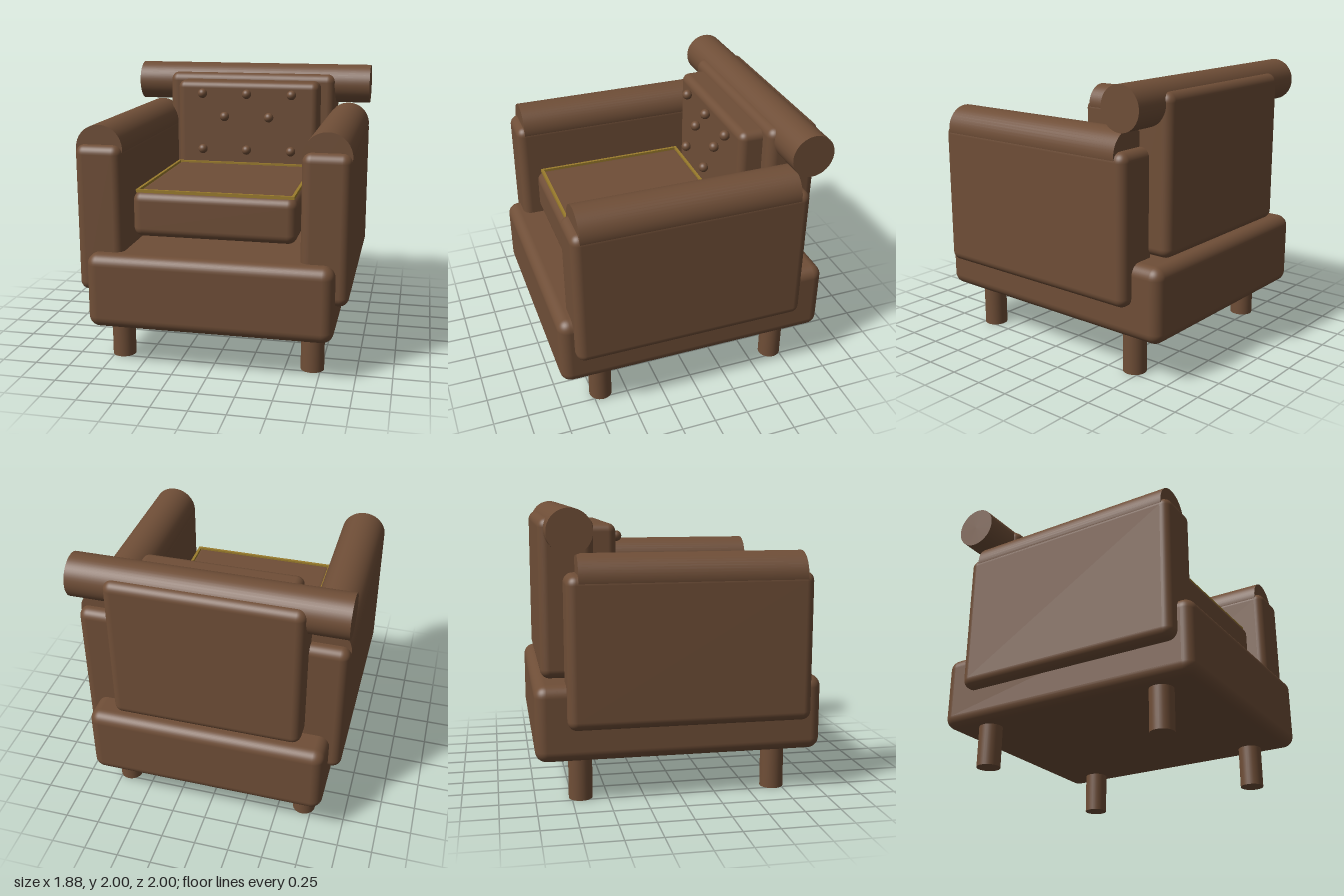
import * as THREE from 'three';
import { RoundedBoxGeometry } from 'three/addons/geometries/RoundedBoxGeometry.js';

export function createModel() {
  const model = new THREE.Group();
  model.name = 'armchair';

  const leather = new THREE.MeshStandardMaterial({ color: 0x6f4e37 });
  leather.name = 'brown leather';
  const gold = new THREE.MeshStandardMaterial({ color: 0x9a7b2c });
  gold.name = 'gold piping';

  const add = (name, geometry, material, x, y, z) => {
    const mesh = new THREE.Mesh(geometry, material);
    mesh.name = name;
    mesh.position.set(x, y, z);
    model.add(mesh);
    return mesh;
  };

  // Rounded block given by its [min, max] range on each axis
  const block = (name, [x0, x1], [y0, y1], [z0, z1], radius) =>
    add(name, new RoundedBoxGeometry(x1 - x0, y1 - y0, z1 - z0, 5, radius), leather,
      (x0 + x1) / 2, (y0 + y1) / 2, (z0 + z1) / 2);

  // Upholstered body
  block('base', [-0.855, 0.855], [0.295, 0.825], [-1, 1], 0.08);
  block('backrest', [-0.675, 0.675], [0.835, 1.93], [-0.945, -0.57], 0.065);
  block('backCushion', [-0.565, 0.565], [1.0, 1.88], [-0.7, -0.405], 0.055);
  block('seatCushion', [-0.575, 0.575], [0.91, 1.23], [-0.4, 0.79], 0.065);

  // Arms with a round bolster along the top
  for (const [side, s] of [['left', 1], ['right', -1]]) {
    const x = s * 0.777;
    block(side + 'Arm', [x - 0.165, x + 0.165], [0.53, 1.565], [-0.785, 0.9], 0.065);
    add(side + 'ArmBolster', new THREE.CylinderGeometry(0.165, 0.165, 1.55, 48), leather, x, 1.535, 0.07)
      .rotation.x = Math.PI / 2;

    // Legs
    for (const [end, z] of [['Front', 0.69], ['Back', -0.688]]) {
      add(side + end + 'Leg', new THREE.CylinderGeometry(0.083, 0.083, 0.36, 32), leather, s * 0.69, 0.18, z);
    }
  }

  // Head roll across the top of the back
  add('headRoll', new THREE.CylinderGeometry(0.151, 0.151, 1.885, 48), leather, 0, 1.849, -0.757)
    .rotation.z = Math.PI / 2;

  // Tufting buttons
  const buttonGeometry = new THREE.SphereGeometry(0.037, 24, 16);
  const rows = [[1.785, [-0.356, 0, 0.356]], [1.605, [-0.178, 0.178]], [1.34, [-0.356, 0, 0.356]]];
  for (const [y, xs] of rows) {
    for (const x of xs) add('button', buttonGeometry, leather, x, y, -0.378);
  }

  // Piping frame on the seat cushion
  const w = 0.02, h = 0.022, zMid = 0.195;
  for (const s of [-1, 1]) {
    add('pipingSide', new THREE.BoxGeometry(w, h, 1.12), gold, s * 0.543, 1.233, zMid);
    add('pipingEnd', new THREE.BoxGeometry(1.106 - 2 * w, h, w), gold, 0, 1.233, zMid + s * 0.55);
  }

  return model;
}
